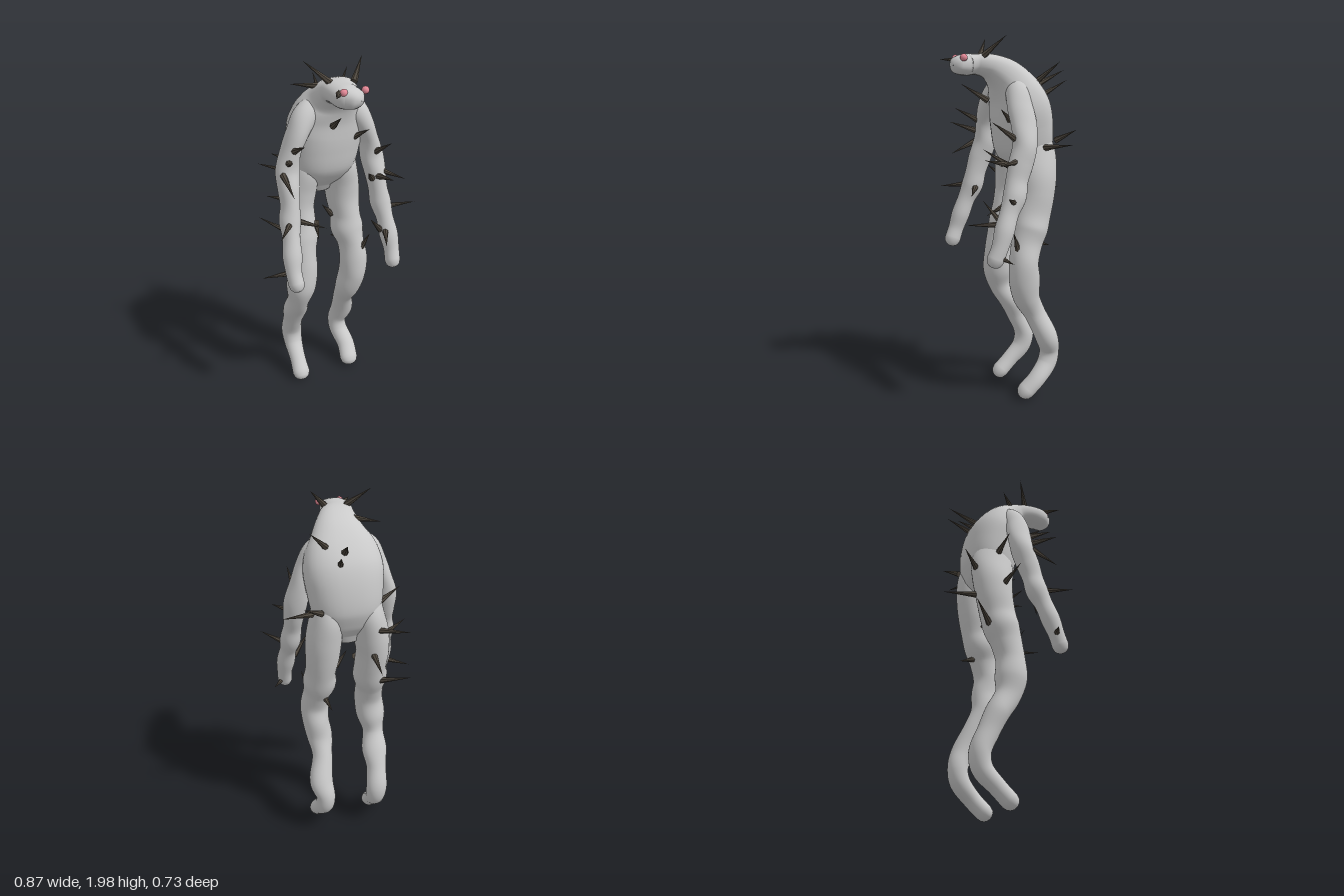
import * as THREE from 'three';

const skin = new THREE.MeshStandardMaterial({ color: 0xcacaca });
skin.name = 'greySkin';
const thorn = new THREE.MeshStandardMaterial({ color: 0x4f483f });
thorn.name = 'darkThorn';
const eyePink = new THREE.MeshStandardMaterial({ color: 0xe58a98 });
eyePink.name = 'pinkEye';

// Smooth limb through stations [x, y, z, radius across, radius front to back], with rounded ends;
// a power below 1 makes the cross-section squarer
function limb(name, stations, power = 1, steps = 6, sides = 32) {
  const path = new THREE.CatmullRomCurve3(stations.map(s => new THREE.Vector3(s[0], s[1], s[2])));
  const size = new THREE.CatmullRomCurve3(stations.map((s, i) => new THREE.Vector3(s[3], s[4], i * 0.1)));
  const soft = v => Math.sign(v) * Math.abs(v) ** power;
  const pos = [], index = [];
  let rings = 0;
  const ring = (t, scale, push) => {
    const T = path.getTangent(t);
    const S = new THREE.Vector3(1, 0, 0).addScaledVector(T, -T.x).normalize();
    const N = new THREE.Vector3().crossVectors(T, S);
    const r = size.getPoint(t);
    const c = path.getPoint(t).addScaledVector(T, push * Math.min(r.x, r.y));
    for (let j = 0; j < sides; j++) {
      const a = j / sides * Math.PI * 2;
      const p = c.clone().addScaledVector(S, soft(Math.cos(a)) * r.x * scale)
        .addScaledVector(N, soft(Math.sin(a)) * r.y * scale);
      pos.push(p.x, p.y, p.z);
    }
    rings++;
  };
  const caps = [0.02, 0.3, 0.6, 0.85];
  caps.forEach(s => ring(0, s, -Math.sqrt(1 - s * s)));
  const n = (stations.length - 1) * steps;
  for (let i = 0; i <= n; i++) ring(i / n, 1, 0);
  caps.reverse().forEach(s => ring(1, s, Math.sqrt(1 - s * s)));
  for (let i = 0; i < rings - 1; i++) {
    for (let j = 0; j < sides; j++) {
      const k = (j + 1) % sides;
      const a = i * sides + j, b = i * sides + k, c = a + sides, d = b + sides;
      index.push(a, b, c, b, d, c);
    }
  }
  const g = new THREE.BufferGeometry();
  g.setAttribute('position', new THREE.Float32BufferAttribute(pos, 3));
  g.setIndex(index);
  g.computeVertexNormals();
  const m = new THREE.Mesh(g, skin);
  m.name = name;
  return m;
}

// Thin cone from its root on the skin to its tip
function spike(root, tip) {
  const a = new THREE.Vector3(...root), b = new THREE.Vector3(...tip);
  const dir = b.clone().sub(a), len = dir.length();
  const g = new THREE.ConeGeometry(0.018, len, 7).toNonIndexed();
  g.computeVertexNormals();
  const m = new THREE.Mesh(g, thorn);
  m.quaternion.setFromUnitVectors(new THREE.Vector3(0, 1, 0), dir.normalize());
  m.position.copy(a).add(b).multiplyScalar(0.5);
  m.name = 'spike';
  return m;
}

export function createModel() {
  const model = new THREE.Group();
  model.name = 'spinyCreature';

  // Hunched torso running forward into the neck and head
  model.add(limb('torsoAndHead', [
    [0.005, 1.27, -0.08, 0.08, 0.05],
    [0.008, 1.33, -0.075, 0.15, 0.105],
    [0.01, 1.41, -0.065, 0.183, 0.145],
    [0.015, 1.52, -0.055, 0.2, 0.153],
    [0.02, 1.63, -0.035, 0.208, 0.145],
    [0.02, 1.72, 0.005, 0.185, 0.12],
    [0.018, 1.79, 0.06, 0.135, 0.095],
    [0.005, 1.835, 0.13, 0.1, 0.068],
    [-0.015, 1.848, 0.2, 0.08, 0.054],
    [-0.015, 1.845, 0.26, 0.074, 0.056],
    [0, 1.843, 0.295, 0.06, 0.05],
  ], 0.86));

  // Knobbly legs, their tops tapering into the hips
  model.add(limb('rightLeg', [
    [-0.08, 1.5, -0.07, 0.08, 0.09],
    [-0.1, 1.38, -0.078, 0.088, 0.122],
    [-0.122, 1.26, -0.082, 0.096, 0.114],
    [-0.133, 1.16, -0.075, 0.09, 0.105],
    [-0.13, 1.06, -0.055, 0.088, 0.102],
    [-0.135, 0.98, -0.035, 0.096, 0.1],
    [-0.14, 0.9, -0.01, 0.08, 0.088],
    [-0.143, 0.8, 0.012, 0.082, 0.08],
    [-0.157, 0.69, 0.008, 0.083, 0.087],
    [-0.166, 0.59, -0.015, 0.06, 0.07],
    [-0.16, 0.49, -0.072, 0.074, 0.064],
    [-0.16, 0.39, -0.118, 0.058, 0.058],
    [-0.152, 0.28, -0.16, 0.062, 0.056],
    [-0.15, 0.2, -0.145, 0.056, 0.055],
    [-0.155, 0.12, -0.07, 0.048, 0.047],
    [-0.16, 0.055, -0.005, 0.052, 0.046],
  ]));
  model.add(limb('leftLeg', [
    [0.1, 1.5, -0.07, 0.08, 0.09],
    [0.12, 1.38, -0.078, 0.088, 0.122],
    [0.138, 1.26, -0.082, 0.096, 0.114],
    [0.145, 1.16, -0.075, 0.092, 0.105],
    [0.152, 1.06, -0.055, 0.082, 0.102],
    [0.155, 0.98, -0.035, 0.092, 0.1],
    [0.167, 0.9, -0.01, 0.074, 0.088],
    [0.177, 0.8, 0.012, 0.08, 0.08],
    [0.173, 0.7, 0.005, 0.076, 0.087],
    [0.157, 0.6, -0.015, 0.074, 0.074],
    [0.155, 0.5, -0.068, 0.058, 0.06],
    [0.178, 0.36, -0.13, 0.068, 0.062],
    [0.16, 0.27, -0.16, 0.056, 0.055],
    [0.163, 0.2, -0.145, 0.055, 0.055],
    [0.18, 0.12, -0.07, 0.054, 0.048],
    [0.17, 0.055, -0.005, 0.055, 0.046],
  ]));

  // Long arms hanging forward from sloped shoulders
  for (const [name, s, dx] of [['rightArm', -1, 0], ['leftArm', 1, 0.016]]) {
    model.add(limb(name, [
      [0.06, 1.75, 0.025, 0.06, 0.05],
      [0.13, 1.7, 0.035, 0.065, 0.065],
      [0.18, 1.62, 0.045, 0.055, 0.07],
      [0.217, 1.53, 0.042, 0.05, 0.07],
      [0.238, 1.43, 0.05, 0.064, 0.064],
      [0.247, 1.34, 0.078, 0.056, 0.066],
      [0.252, 1.26, 0.102, 0.05, 0.06],
      [0.262, 1.18, 0.12, 0.057, 0.062],
      [0.272, 1.1, 0.155, 0.046, 0.051],
      [0.282, 1.01, 0.188, 0.052, 0.052],
      [0.288, 0.93, 0.215, 0.043, 0.045],
      [0.284, 0.865, 0.24, 0.042, 0.046],
    ].map(([x, y, z, a, b]) => [s * x + dx, y, z, a, b])));
  }

  // Eyes on top of the snout
  for (const [name, x] of [['rightEye', -0.052], ['leftEye', 0.062]]) {
    const eye = new THREE.Mesh(new THREE.SphereGeometry(0.019, 20, 14), eyePink);
    eye.position.set(x, 1.878, 0.3);
    eye.name = name;
    model.add(eye);
  }

  // Spikes as [root, tip] pairs
  const groups = {
    headAndBackSpikes: [
      [[-0.05, 1.89, 0.16], [-0.16, 1.99, 0.08]],
      [[0.06, 1.89, 0.19], [0.15, 1.99, 0.1]],
      [[-0.06, 1.85, 0.06], [-0.18, 1.85, -0.04]],
      [[-0.06, 1.87, 0.27], [-0.12, 1.875, 0.36]],
      [[-0.02, 1.66, 0.13], [-0.05, 1.75, 0.275]],
      [[0.11, 1.75, -0.08], [0.22, 1.865, -0.18]],
      [[0.035, 1.74, -0.13], [0.065, 1.825, -0.29]],
      [[0.06, 1.68, -0.14], [0.095, 1.77, -0.29]],
      [[0.13, 1.56, 0.07], [0.18, 1.62, 0.15]],
      [[0.17, 1.45, -0.18], [0.27, 1.51, -0.25]],
      [[0.19, 1.415, -0.1], [0.37, 1.44, -0.175]],
      [[-0.13, 1.32, -0.18], [-0.27, 1.345, -0.305]],
      [[-0.17, 1.43, -0.07], [-0.29, 1.5, -0.05]],
    ],
    armSpikes: [
      [[-0.25, 1.49, 0.1], [-0.3, 1.54, 0.24]],
      [[-0.22, 1.55, 0.1], [-0.225, 1.62, 0.24]],
      [[-0.28, 1.43, 0.09], [-0.285, 1.36, 0.24]],
      [[0.25, 1.47, 0.1], [0.26, 1.56, 0.24]],
      [[0.28, 1.36, 0.1], [0.355, 1.345, 0.24]],
      [[0.22, 1.33, 0.12], [0.135, 1.415, 0.23]],
      [[0.25, 1.34, 0.13], [0.26, 1.37, 0.28]],
      [[0.3, 1.15, 0.13], [0.43, 1.195, 0.23]],
      [[-0.22, 1.17, 0.12], [-0.09, 1.135, 0.2]],
      [[-0.27, 1.185, 0.15], [-0.38, 1.165, 0.28]],
      [[-0.3, 0.925, 0.21], [-0.44, 0.895, 0.15]],
      [[0.25, 1.04, 0.18], [0.15, 1.15, 0.24]],
      [[0.27, 1.04, 0.2], [0.19, 1.035, 0.35]],
      [[0.31, 0.88, 0.22], [0.375, 0.85, 0.17]],
    ],
    legSpikes: [
      [[-0.06, 1.08, 0.01], [-0.09, 1.02, 0.11]],
      [[0.07, 1.07, -0.06], [0, 1.15, -0.04]],
      [[0.2, 0.88, 0.06], [0.23, 0.98, 0.1]],
      [[-0.115, 1.17, -0.17], [-0.1, 1.155, -0.365]],
      [[-0.17, 0.98, -0.12], [-0.3, 1.045, -0.245]],
      [[0.14, 0.9, -0.08], [0.12, 0.865, -0.18]],
      [[-0.2, 1.22, -0.05], [-0.34, 1.285, -0.01]],
    ],
  };
  for (const [name, list] of Object.entries(groups)) {
    const g = new THREE.Group();
    g.name = name;
    list.forEach(([root, tip]) => g.add(spike(root, tip)));
    model.add(g);
  }
  return model;
}
